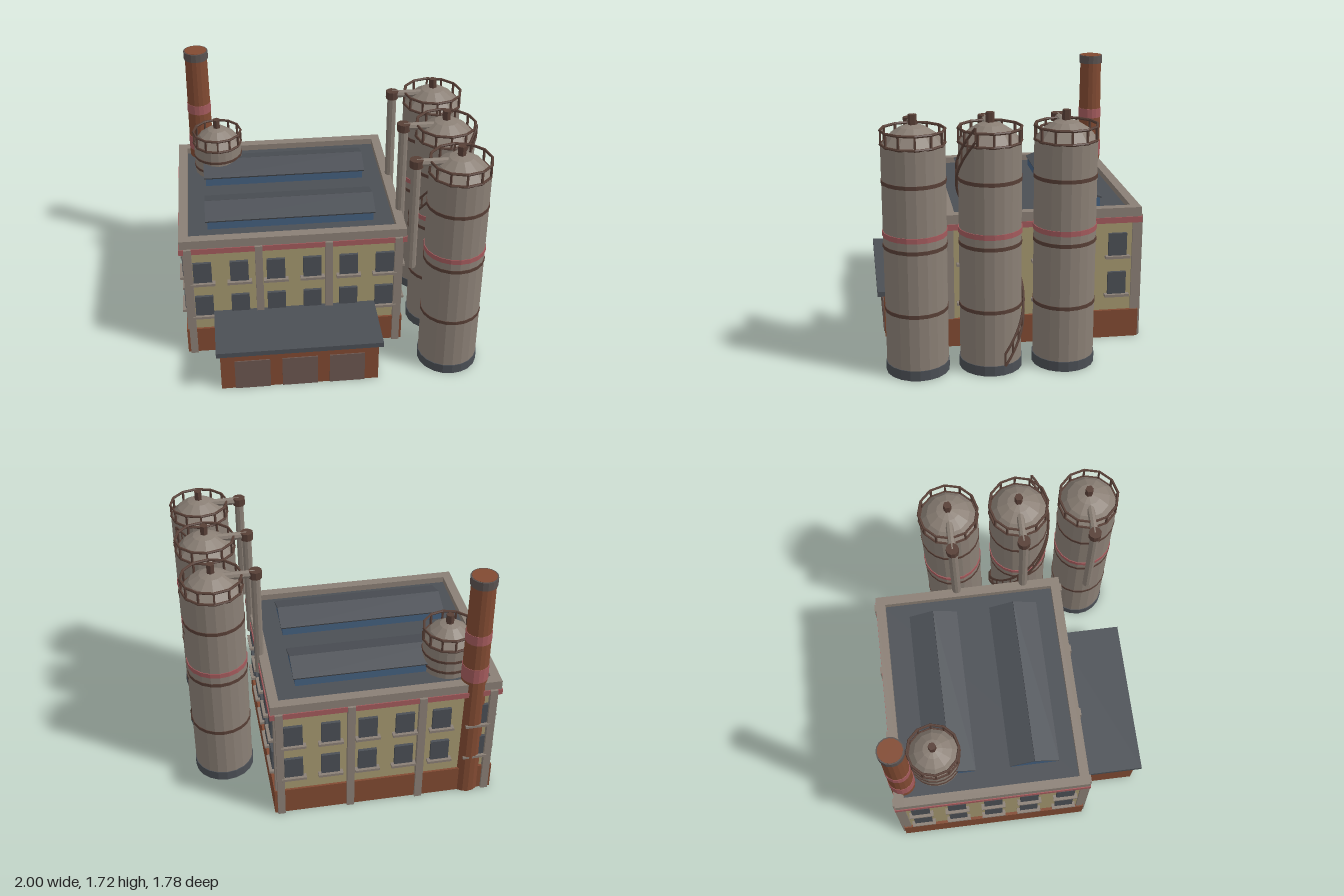
import * as THREE from 'three';

const mat = (name, color, extra = {}) => {
  const m = new THREE.MeshStandardMaterial({ color, flatShading: true, ...extra });
  m.name = name;
  return m;
};

export function createModel() {
  const wall = mat('beige wall', 0xa4976f);
  const brick = mat('brick', 0x814a32);
  const concrete = mat('concrete', 0x8a7f75);
  const slate = mat('slate', 0x4b4f55);
  const red = mat('red trim', 0xa35a5c);
  const iron = mat('rusty iron', 0x573f36);
  const door = mat('door', 0x6c5750);
  const glass = mat('skylight glass', 0x44607f);
  const soot = mat('sooty cap', 0x5a5250);

  const model = new THREE.Group();
  model.name = 'factory';
  const group = (name, parent = model) => {
    const g = new THREE.Group();
    g.name = name;
    parent.add(g);
    return g;
  };
  const add = (parent, name, geo, m, x = 0, y = 0, z = 0) => {
    const mesh = new THREE.Mesh(geo, m);
    mesh.name = name;
    mesh.position.set(x, y, z);
    parent.add(mesh);
    return mesh;
  };
  // Box given by its size, bottom height and centre
  const box = (parent, name, m, w, h, d, x, y0, z) =>
    add(parent, name, new THREE.BoxGeometry(w, h, d), m, x, y0 + h / 2, z);
  // Upright cylinder between two heights
  const cyl = (parent, name, m, r0, r1, y0, y1, sides, x = 0, z = 0) =>
    add(parent, name, new THREE.CylinderGeometry(r1, r0, y1 - y0, sides), m, x, (y0 + y1) / 2, z);

  // ---- Main building, centred on its own origin ----
  const hall = group('mainBuilding');
  hall.position.set(-0.235, 0, -0.207);
  const hx = 0.725, hz = 0.635;
  box(hall, 'brickBase', brick, 1.49, 0.195, 1.3, 0, 0, 0);
  box(hall, 'walls', wall, hx * 2, 0.64, hz * 2, 0, 0.19, 0);
  box(hall, 'redBand', red, 1.52, 0.04, 1.312, 0, 0.82, 0);
  box(hall, 'roofDeck', slate, 1.44, 0.02, 1.24, 0, 0.86, 0);
  for (const s of [-1, 1]) {
    box(hall, 'parapetLong', concrete, 1.508, 0.065, 0.064, 0, 0.858, s * 0.618);
    box(hall, 'parapetShort', concrete, 0.062, 0.065, 1.172, s * 0.723, 0.858, 0);
  }

  // Window with sill, facing +z in its own group
  const makeWindow = (x, y, z, turn) => {
    const w = group('window', hall);
    w.position.set(x, y, z);
    w.rotation.y = turn;
    box(w, 'pane', slate, 0.123, 0.155, 0.04, 0, 0, 0);
    box(w, 'sill', concrete, 0.165, 0.018, 0.08, 0, -0.018, 0);
  };
  for (const y of [0.315, 0.588]) {
    for (const s of [-1, 1]) {
      for (let i = 0; i < 6; i++) makeWindow((i - 2.5) * 0.245, y, s * hz, s > 0 ? 0 : Math.PI);
      for (let i = 0; i < 5; i++) makeWindow(s * hx, y, (i - 2) * 0.249, s * Math.PI / 2);
    }
  }
  // Pilasters on the long faces and at the corners of the short faces
  for (const s of [-1, 1]) {
    for (let i = 0; i < 4; i++) {
      box(hall, 'pilaster', concrete, 0.05, 0.862, 0.05, (i - 1.5) * 0.468, 0, s * 0.642);
    }
    for (const t of [-1, 1]) {
      box(hall, 'cornerPilaster', concrete, 0.03, 0.862, 0.045, s * 0.722, 0, t * 0.62);
    }
  }

  // ---- Skylights: glazed gable body under two roof plates ----
  for (const z of [-0.465, 0.092]) {
    const sky = group('skylight');
    sky.position.set(-0.237, 0, z);
    const shape = new THREE.Shape();
    shape.moveTo(-0.155, 0.87);
    shape.lineTo(0.155, 0.87);
    shape.lineTo(0.155, 0.945);
    shape.lineTo(0, 1.0);
    shape.lineTo(-0.155, 0.945);
    const body = add(sky, 'glazing', new THREE.ExtrudeGeometry(shape, { depth: 1.12, bevelEnabled: false }), glass, -0.56);
    body.rotation.y = Math.PI / 2;
    const slope = Math.atan2(0.06, 0.163);
    for (const s of [-1, 1]) {
      const plate = add(sky, 'roofPlate', new THREE.BoxGeometry(1.145, 0.012, 0.174), slate, 0, 0.973, s * 0.0815);
      plate.rotation.x = s * slope;
    }
  }

  // ---- Loading annex ----
  const annex = group('loadingAnnex');
  box(annex, 'annexWalls', brick, 1.05, 0.305, 0.44, -0.237, 0, 0.625);
  box(annex, 'annexRoof', slate, 1.1, 0.035, 0.455, -0.237, 0.302, 0.662);
  for (let i = -1; i <= 1; i++) {
    box(annex, 'loadingDoor', door, 0.235, 0.228, 0.02, -0.237 + i * 0.315, 0, 0.842);
  }

  // ---- Chimney ----
  const chimney = group('chimney');
  chimney.position.set(-0.818, 0, -0.793);
  const rAt = y => 0.094 - 0.0095 * y;
  const H = 1.715;
  cyl(chimney, 'shaft', brick, rAt(0), rAt(H), 0, H, 16);
  for (const [y0, y1] of [[0.945, 1.05], [1.24, 1.31]]) {
    cyl(chimney, 'redStripe', red, rAt(y0) + 0.003, rAt(y1) + 0.003, y0, y1, 16);
  }
  cyl(chimney, 'capBand', soot, 0.086, 0.086, 1.655, H - 0.002, 16);

  // ---- Tank top: railing, dome and vent ----
  const ring = (parent, name, m, r, y, h) => cyl(parent, name, m, r, r, y - h / 2, y + h / 2, 20);
  const hoop = (parent, r, y) => {
    const t = add(parent, 'railHoop', new THREE.TorusGeometry(r, 0.009, 6, 12), iron, 0, y, 0);
    t.rotation.x = Math.PI / 2;
  };
  const tankTop = (parent, r, y) => {
    const profile = [[r * 0.97, 0], [r * 0.72, 0.06], [r * 0.38, 0.103], [0, 0.122]]
      .map(([px, py]) => new THREE.Vector2(px, y + py));
    add(parent, 'dome', new THREE.LatheGeometry(profile, 12), concrete);
    cyl(parent, 'vent', iron, 0.027, 0.027, y + 0.1, y + 0.178, 6);
    hoop(parent, r - 0.004, y);
    hoop(parent, r - 0.004, y + 0.085);
    for (let i = 0; i < 12; i++) {
      const a = i * Math.PI / 6;
      const p = box(parent, 'railPost', iron, 0.012, 0.085, 0.012, Math.cos(a) * (r - 0.006), y, Math.sin(a) * (r - 0.006));
      p.rotation.y = -a;
    }
  };

  // ---- Silos with bands and feed pipes ----
  const siloX = 0.793;
  for (const z of [-0.283, 0.187, 0.655]) {
    const silo = group('silo');
    silo.position.set(siloX, 0, z);
    cyl(silo, 'siloBody', concrete, 0.197, 0.197, 0.03, 1.48, 20);
    cyl(silo, 'siloFoot', slate, 0.202, 0.202, 0, 0.066, 20);
    for (const y of [0.427, 0.84, 1.25]) ring(silo, 'ironBand', iron, 0.201, y, 0.024);
    ring(silo, 'redBand', red, 0.202, 0.92, 0.033);
    tankTop(silo, 0.2, 1.478);
    cyl(silo, 'downPipe', concrete, 0.031, 0.031, 0.775, 1.54, 10, -0.28);
    cyl(silo, 'pipeHead', iron, 0.043, 0.043, 1.525, 1.577, 10, -0.28);
    const feed = add(silo, 'feedPipe', new THREE.CylinderGeometry(0.026, 0.026, 0.23, 8), concrete, -0.165, 1.553, 0);
    feed.rotation.z = Math.PI / 2;
  }

  // ---- Spiral rail around the middle silo ----
  const spiral = group('spiralLadder');
  spiral.position.set(siloX, 0, 0.187);
  const helix = (t, lift) => {
    const a = 0.33 + t * 5.4;
    return new THREE.Vector3(Math.cos(a) * 0.209, 0.065 + t * 1.45 + lift, -Math.sin(a) * 0.209);
  };
  for (const lift of [0, 0.085]) {
    const pts = Array.from({ length: 33 }, (_, i) => helix(i / 32, lift));
    add(spiral, 'spiralRail', new THREE.TubeGeometry(new THREE.CatmullRomCurve3(pts), 64, 0.008, 6), iron);
  }
  for (let i = 0; i <= 20; i++) {
    const p = helix(i / 20, 0);
    box(spiral, 'spiralPost', iron, 0.01, 0.085, 0.01, p.x, p.y, p.z);
  }

  // ---- Roof tank ----
  const tank = group('roofTank');
  tank.position.set(-0.7, 0, -0.56);
  cyl(tank, 'tankBody', concrete, 0.167, 0.167, 0.87, 1.1, 20);
  for (const y of [0.93, 1.01]) ring(tank, 'ironBand', iron, 0.172, y, 0.018);
  tankTop(tank, 0.174, 1.1);

  return model;
}
